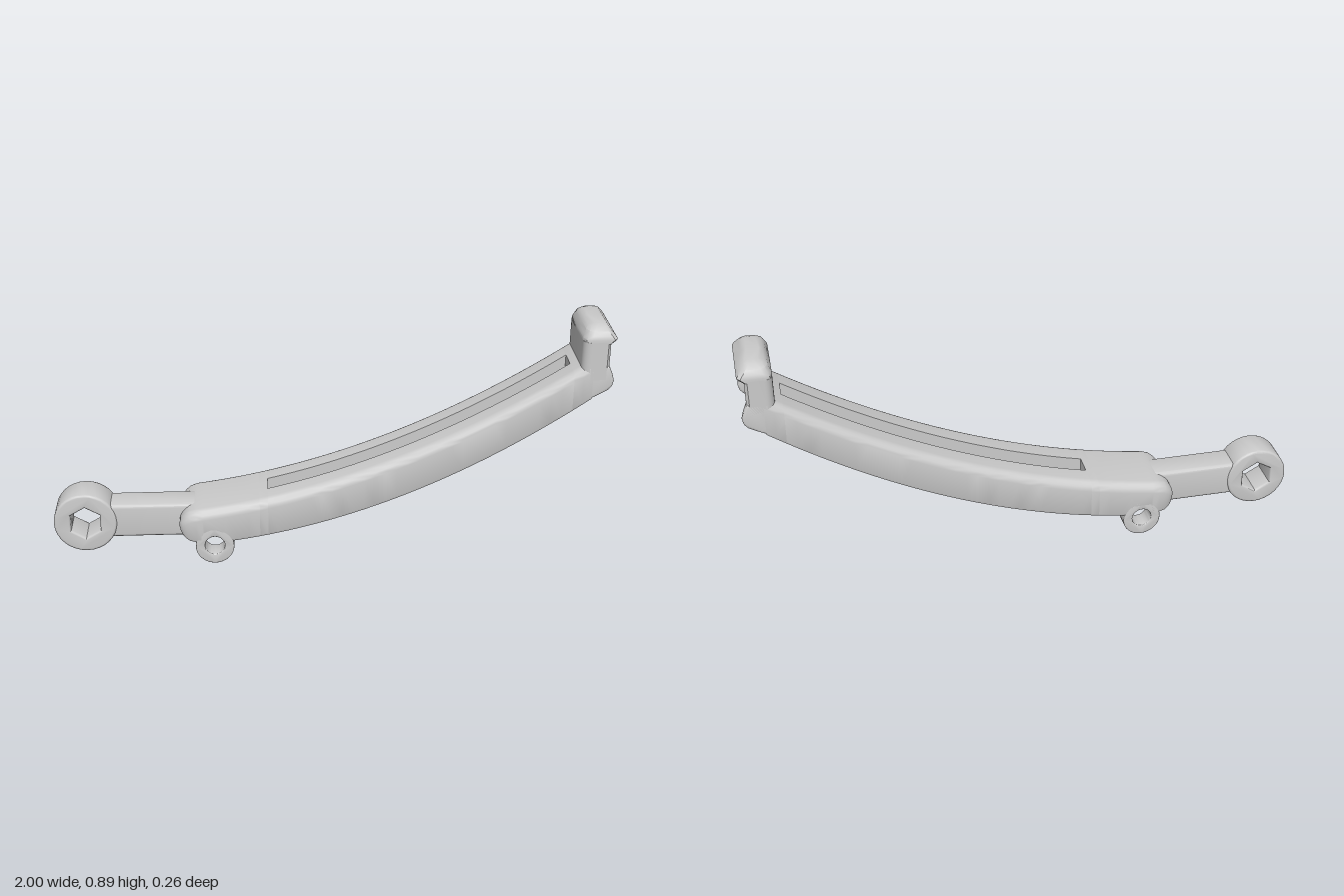
import * as THREE from 'three';
import { toCreasedNormals } from 'three/addons/utils/BufferGeometryUtils.js';

const material = new THREE.MeshStandardMaterial({ color: 0xcccccc });

// Quadratic edge curves of the bowed lever
const topY = x => 0.21 + 0.265 * (x + 0.46) + 0.194 * (x + 0.46) * (x - 0.2);
const botY = x => Math.max(0.083, 0.085 + 0.259 * (x + 0.36) + 0.2246 * (x + 0.36) * (x - 0.2));

// Quarter arc around (u, v), from +v towards +u
function arc(u, v, r, n = 6) {
  return Array.from({ length: n + 1 }, (_, i) => {
    const a = (i / n) * Math.PI / 2;
    return [u + r * Math.sin(a), v + r * Math.cos(a)];
  });
}

// Closed solid through 2D sections; place(u, v, t) puts a section point in space
function loft(sections, place) {
  const n = sections[0].pts.length;
  const P = sections.map(s => s.pts.map(([u, v]) => place(u, v, s.t)));
  const tris = [];
  for (let i = 0; i < P.length - 1; i++)
    for (let j = 0; j < n; j++) {
      const k = (j + 1) % n;
      tris.push([P[i][j], P[i][k], P[i + 1][k]], [P[i][j], P[i + 1][k], P[i + 1][j]]);
    }
  const contour = s => s.pts.map(p => new THREE.Vector2(...p));
  const last = P.length - 1;
  // Caps wind opposite to each other, matching the section direction
  const ccw = THREE.ShapeUtils.area(contour(sections[0])) > 0;
  for (const e of [0, last])
    for (const f of THREE.ShapeUtils.triangulateShape(contour(sections[e]), [])) {
      const q = f.map(i => P[e][i]);
      const a = THREE.ShapeUtils.area(f.map(i => new THREE.Vector2(...sections[e].pts[i])));
      const same = (a > 0) === ccw;
      tris.push(same === (e === last) ? q : q.reverse());
    }
  // Turn the solid right side out
  let volume = 0;
  for (const [a, b, c] of tris) volume += a.dot(b.clone().cross(c));
  const flat = tris.flatMap(t => (volume < 0 ? [t[0], t[2], t[1]] : t).flatMap(p => p.toArray()));
  const geo = new THREE.BufferGeometry();
  geo.setAttribute('position', new THREE.Float32BufferAttribute(flat, 3));
  return toCreasedNormals(geo, 0.6);
}

// Extrusion along z between z0 and z1 with an edge bevel b kept inside the outline
function plate(shape, z0, z1, b) {
  const geo = new THREE.ExtrudeGeometry(shape, {
    depth: z1 - z0 - 2 * b, bevelEnabled: true, bevelSize: b, bevelThickness: b,
    bevelOffset: -b, bevelSegments: 3, curveSegments: 16
  });
  geo.translate(0, 0, z0 + b);
  return toCreasedNormals(geo, 0.6);
}

// Half cross-section of the lever at x: solid, full web, or web with slot
function leverSection(x, zi, solid) {
  let t = topY(x), b = botY(x);
  const d = Math.max(0, (-0.48 - x) / 0.062);
  const k = Math.sqrt(1 - d * d), mid = (t + b) / 2;
  t = mid + (t - mid) * k;
  b = mid + (b - mid) * k;
  // Clearance for the pin bore
  if (x > -0.455 && x < -0.375) b = 0.115;
  const z = 0.13 - 0.04 * (1 - k);
  const r = Math.min(0.035, (t - b) * 0.45), rb = Math.min(0.012, (t - b) * 0.3);
  const pts = [[zi, t], ...arc(z - r, t - r, r), [z, b + rb], [z - rb * 0.3, b + rb * 0.3], [z - rb, b]];
  if (solid) pts.push([0, b]);
  else pts.push([0.1, b], [0.1, t - 0.065], [zi, t - 0.065]);
  return { t: x, pts };
}

const range = (a, b, n) => Array.from({ length: n + 1 }, (_, i) => a + (b - a) * i / n);

export function createModel() {
  const model = new THREE.Group();
  const add = (name, geo) => {
    const mesh = new THREE.Mesh(geo, material);
    mesh.name = name;
    model.add(mesh);
  };

  // Lever and hook are made as mirrored halves
  for (const s of [1, -1]) {
    const side = s > 0 ? 'Front' : 'Back';
    const alongX = (z, y, x) => new THREE.Vector3(x, y, z * s);
    const alongY = (z, x, y) => new THREE.Vector3(x, y, z * s);

    const noseX = [-0.5415, -0.538, -0.53, -0.52, -0.505, -0.48, -0.457, -0.45, -0.38, -0.373, -0.33, -0.29, -0.25];
    add('leverNose' + side, loft(noseX.map(x => leverSection(x, 0, true)), alongX));
    add('leverWebStart' + side, loft(range(-0.25, -0.22, 1).map(x => leverSection(x, 0)), alongX));
    add('leverRail' + side, loft(range(-0.22, 0.855, 28).map(x => leverSection(x, 0.038)), alongX));
    add('leverWebEnd' + side, loft(range(0.855, 0.92, 2).map(x => leverSection(x, 0)), alongX));

    // Upright hook wall, open towards +x
    const wall = [[0, 0.88], [0.1, 0.88],
      ...arc(0.1, 0.91, 0.03).slice(1).map(([z, x]) => [z, 1.82 - x]),
      [0.13, 0.965], [0.12, 0.975], [0.1, 0.975], [0.1, 0.92], [0, 0.92]];
    add('hookWall' + side, loft([0.7, 0.84].map(t => ({ t, pts: wall })), alongY));

    // Rounded roof with a small lip
    const roof = [
      [0.835, 0.88, 0.982, 0.13], [0.85, 0.88, 0.998, 0.13], [0.862, 0.885, 0.99, 0.126],
      [0.877, 0.891, 0.977, 0.115], [0.888, 0.9, 0.968, 0.101], [0.895, 0.912, 0.955, 0.082]
    ].map(([t, x0, x1, z]) => ({
      t,
      pts: [[0, x0], [z - 0.03, x0], [z - 0.009, x0 + 0.009], [z, x0 + 0.025],
        [z, x1 - 0.012], [z - 0.012, x1], [0, x1]]
    }));
    add('hookRoof' + side, loft(roof, alongY));

    // Cheek at the foot of the hook
    const cheek = new THREE.Shape([[0.9, 0.62], [0.95, 0.645], [0.977, 0.66], [0.99, 0.675], [0.995, 0.695],
      [0.988, 0.72], [0.976, 0.75], [0.9, 0.75]].map(p => new THREE.Vector2(...p)));
    add('hookCheek' + side, plate(cheek, s > 0 ? 0.1 : -0.13, s > 0 ? 0.13 : -0.1, 0.008));

    // Pin lug
    const lug = new THREE.Shape().absarc(-0.415, 0.07, 0.07, 0, Math.PI * 2);
    lug.holes.push(new THREE.Path().absarc(-0.415, 0.073, 0.036, 0, Math.PI * 2, true));
    add('pinLug' + side, plate(lug, s > 0 ? 0.06 : -0.13, s > 0 ? 0.13 : -0.06, 0.003));
  }

  // Slotted arm
  const arm = new THREE.Shape([[-0.8, 0.075], [-0.46, 0.075], [-0.46, 0.205], [-0.8, 0.205]]
    .map(p => new THREE.Vector2(...p)));
  const slot = new THREE.Path();
  slot.absarc(-0.755, 0.139, 0.025, Math.PI * 1.5, Math.PI / 2, true);
  slot.absarc(-0.57, 0.139, 0.025, Math.PI / 2, -Math.PI / 2, true);
  arm.holes.push(slot);
  add('slottedArm', plate(arm, -0.056, 0.056, 0.014));

  // Pivot ring with hexagonal bore
  const ring = new THREE.Shape().absarc(-0.885, 0.138, 0.115, 0, Math.PI * 2);
  ring.holes.push(new THREE.Path(range(0, 5, 5).map(i => {
    const a = Math.PI / 2 - i * Math.PI / 3;
    return new THREE.Vector2(-0.885 + 0.062 * Math.cos(a), 0.138 + 0.062 * Math.sin(a));
  })));
  add('pivotRing', plate(ring, -0.06, 0.06, 0.008));

  return model;
}
